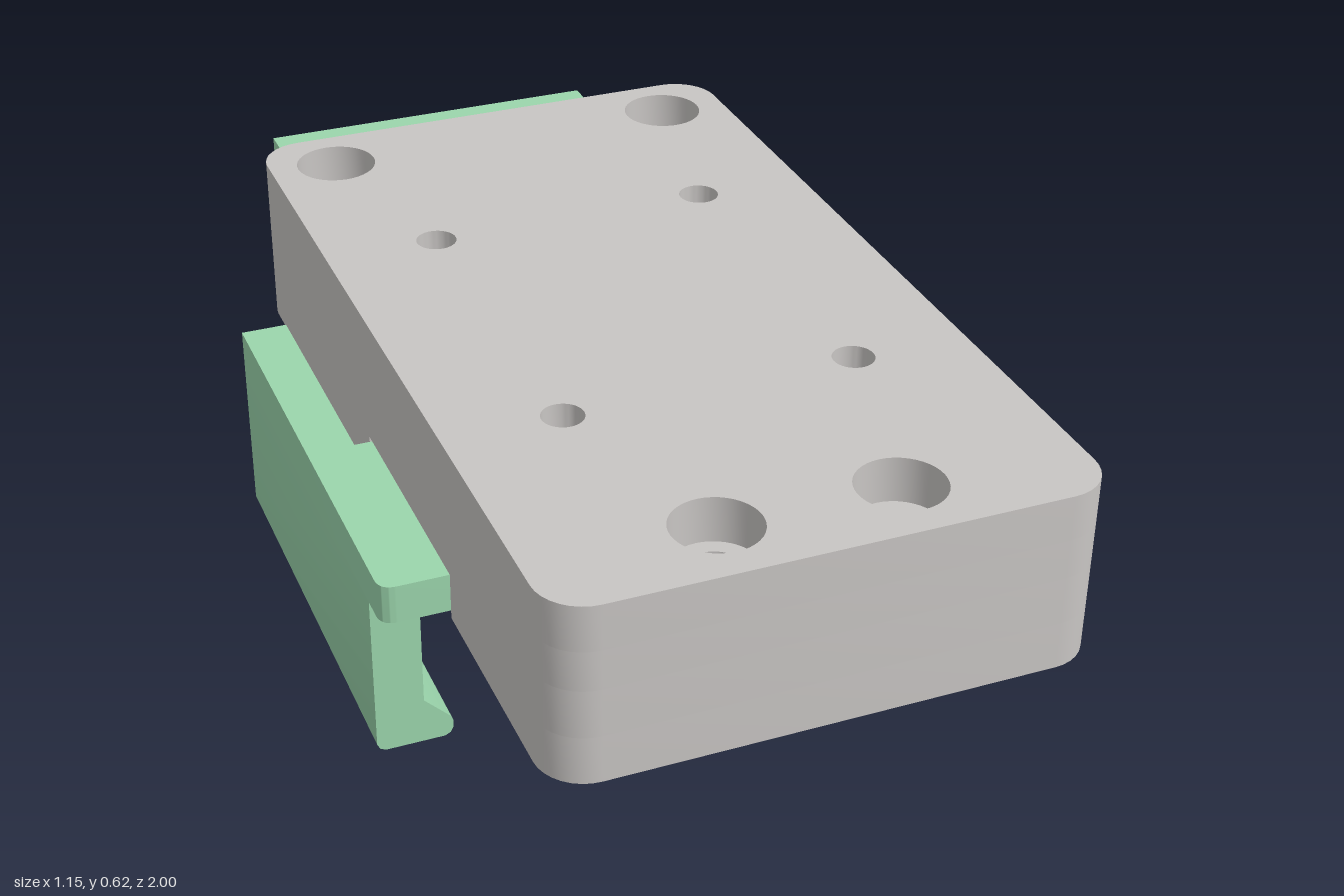
import * as THREE from 'three';
import { toCreasedNormals } from 'three/addons/utils/BufferGeometryUtils.js';

const grey = new THREE.MeshStandardMaterial({ color: 0xc8c5c3 });
grey.name = 'housing grey';
const green = new THREE.MeshStandardMaterial({ color: 0x9bd5ac });
green.name = 'clamp green';

// Housing limits in plan; plan coordinates are (x, -z)
const HX = 0.46, FRONT = -1, BACK = 0.625, R = 0.08, WALL = 0.04;

function add(parent, name, geometry, material) {
  const mesh = new THREE.Mesh(toCreasedNormals(geometry, 0.6), material);
  mesh.name = name;
  parent.add(mesh);
  return mesh;
}

// Extrude a plan shape upwards between two heights
function slab(shape, y0, y1) {
  return new THREE.ExtrudeGeometry(shape, { depth: y1 - y0, bevelEnabled: false, curveSegments: 20 })
    .rotateX(-Math.PI / 2).translate(0, y0, 0);
}

function arcPoints(cx, cy, r, a0, a1, n = 8) {
  return Array.from({ length: n + 1 }, (_, i) => {
    const a = a0 + (a1 - a0) * i / n;
    return new THREE.Vector2(cx + r * Math.cos(a), cy + r * Math.sin(a));
  });
}

// Corners counted counterclockwise from +x back
function cornerPoints(k, r) {
  const cx = (k === 0 || k === 3 ? 1 : -1) * (HX - R);
  const cy = k < 2 ? BACK - R : FRONT + R;
  return arcPoints(cx, cy, r, k * Math.PI / 2, (k + 1) * Math.PI / 2);
}

// Strip of wall from one point on the outline to another, past the given corners
function wall(start, corners, end) {
  const inset = ([x, y]) => new THREE.Vector2(
    THREE.MathUtils.clamp(x, WALL - HX, HX - WALL),
    THREE.MathUtils.clamp(y, FRONT + WALL, BACK - WALL));
  const outer = [new THREE.Vector2(...start), ...corners.flatMap(k => cornerPoints(k, R)), new THREE.Vector2(...end)];
  const inner = [inset(start), ...corners.flatMap(k => cornerPoints(k, R - WALL)), inset(end)];
  return new THREE.Shape([...outer, ...inner.reverse()]);
}

function roundHole(shape, x, z, r) {
  shape.holes.push(new THREE.Path().absarc(x, -z, r, 0, Math.PI * 2, true));
}

// Diagonal guide slot with round ends
function slotHole(shape, x0, y0, x1, y1, r) {
  const a = Math.atan2(y1 - y0, x1 - x0);
  const pts = [
    ...arcPoints(x1, y1, r, a - Math.PI / 2, a + Math.PI / 2),
    ...arcPoints(x0, y0, r, a + Math.PI / 2, a + Math.PI * 1.5)];
  shape.holes.push(new THREE.Path(pts.reverse()));
}

function makeHousing() {
  const g = new THREE.Group();
  g.name = 'housing';
  const bolts = [[-0.335, -0.51], [0.335, -0.51], [-0.152, 0.875], [0.152, 0.875]];
  const outline = () => new THREE.Shape([0, 1, 2, 3].flatMap(k => cornerPoints(k, R)));

  // Top in two layers: counterbores and blind holes, then the bolt holes
  const top = outline(), floor = outline();
  for (const [x, z] of bolts) {
    roundHole(top, x, z, 0.074);
    roundHole(floor, x, z, 0.047);
  }
  for (const x of [-0.255, 0.255]) for (const z of [-0.14, 0.505]) roundHole(top, x, z, 0.036);
  add(g, 'topPlate', slab(top, 0.54, 0.62), grey);
  add(g, 'boltFloor', slab(floor, 0.47, 0.54), grey);

  // Walls, with notches where the clamp arms pass
  add(g, 'upperWall', slab(wall([-0.09, BACK], [1, 2, 3, 0], [0.09, BACK]), 0.385, 0.47), grey);
  add(g, 'frontWall', slab(wall([-HX, -0.535], [2, 3], [HX, -0.015]), 0.3, 0.385), grey);
  add(g, 'backLeftWall', slab(wall([HX, 0.425], [0], [0.09, BACK]), 0.3, 0.385), grey);
  add(g, 'backRightWall', slab(wall([-0.09, BACK], [1], [-HX, -0.09]), 0.3, 0.385), grey);
  return g;
}

function makeSideJaw(name) {
  const g = new THREE.Group();
  g.name = name;
  // Hooked plate, profile in x and y
  const p = new THREE.Shape([
    [0.455, 0], [0.56, 0], [0.57, 0.005], [0.575, 0.015], [0.575, 0.38], [0.49, 0.38],
    [0.49, 0.085], [0.445, 0.04], [0.44, 0.03], [0.44, 0.015], [0.445, 0.005],
  ].map(q => new THREE.Vector2(...q)));
  add(g, 'jawPlate', new THREE.ExtrudeGeometry(p, { depth: 0.815, bevelEnabled: false })
    .translate(0, 0, -0.35), green);
  // Fillet below the arm
  const f = new THREE.Shape();
  f.moveTo(0.49, 0.28).quadraticCurveTo(0.49, 0.31, 0.46, 0.31).lineTo(0.49, 0.31);
  add(g, 'jawFillet', new THREE.ExtrudeGeometry(f, { depth: 0.36, bevelEnabled: false })
    .translate(0, 0, -0.35), green);
  // Sliding arm with its diagonal slot
  const a = new THREE.Shape();
  a.moveTo(-0.25, -0.01).lineTo(0.575, -0.01).lineTo(0.575, 0.39)
    .quadraticCurveTo(0.575, 0.42, 0.545, 0.42).lineTo(-0.25, 0.42);
  slotHole(a, 0.08, 0.275, -0.155, 0.045, 0.045);
  add(g, 'jawArm', slab(a, 0.31, 0.38), green);
  return g;
}

function makeBackJaw() {
  const g = new THREE.Group();
  g.name = 'backJaw';
  // Hooked plate, profile in z and y, swept across x
  const p = new THREE.Shape([
    [-1, 0], [-0.865, 0], [-0.85, 0.015], [-0.85, 0.035], [-0.935, 0.12], [-0.935, 0.46], [-1, 0.46],
  ].map(q => new THREE.Vector2(...q)));
  const geo = new THREE.ExtrudeGeometry(p, { depth: 0.68, steps: 68, bevelEnabled: false })
    .translate(0, 0, -0.34).rotateY(-Math.PI / 2);
  // Round the lower corners
  const pos = geo.attributes.position;
  for (let i = 0; i < pos.count; i++) {
    const x = pos.getX(i), y = pos.getY(i), z = pos.getZ(i);
    const d = Math.min(0.08, Math.max(0, Math.abs(x) - 0.26));
    pos.setXYZ(i, x, Math.max(y, 0.08 - Math.sqrt(0.0064 - d * d)), -Math.abs(z));
  }
  add(g, 'backPlate', geo, green);

  // Central slider, flared into the plate and widened at its front end
  const s = new THREE.Shape();
  s.moveTo(-0.13, 0.95).lineTo(-0.13, 0.935).quadraticCurveTo(-0.08, 0.935, -0.08, 0.885)
    .lineTo(-0.08, -0.6).lineTo(-0.25, -0.6).lineTo(-0.25, -0.76).lineTo(0.25, -0.76)
    .lineTo(0.25, -0.6).lineTo(0.08, -0.6).lineTo(0.08, 0.885)
    .quadraticCurveTo(0.08, 0.935, 0.13, 0.935).lineTo(0.13, 0.95);
  add(g, 'slider', slab(s, 0.39, 0.46), green);

  // Guide pegs riding in the slots
  for (const z of [-0.2, 0.305]) {
    add(g, 'guidePeg', new THREE.CylinderGeometry(0.038, 0.038, 0.06, 24).translate(0, 0.365, z), green);
  }
  // Post for the fastening pin
  add(g, 'pinPost', new THREE.CylinderGeometry(0.06, 0.06, 0.05, 24).translate(-0.19, 0.37, 0.69), green);
  return g;
}

export function createModel() {
  const model = new THREE.Group();
  model.name = 'clampMechanism';
  model.add(makeHousing(), makeBackJaw());

  // The right jaw is the left one turned half round
  const left = makeSideJaw('leftJaw');
  const right = makeSideJaw('rightJaw');
  right.rotation.y = Math.PI;
  right.position.z = 0.108;
  model.add(left, right);

  add(model, 'fasteningPin', new THREE.CylinderGeometry(0.028, 0.028, 0.17, 20).translate(-0.19, 0.39, 0.69), grey);
  return model;
}
